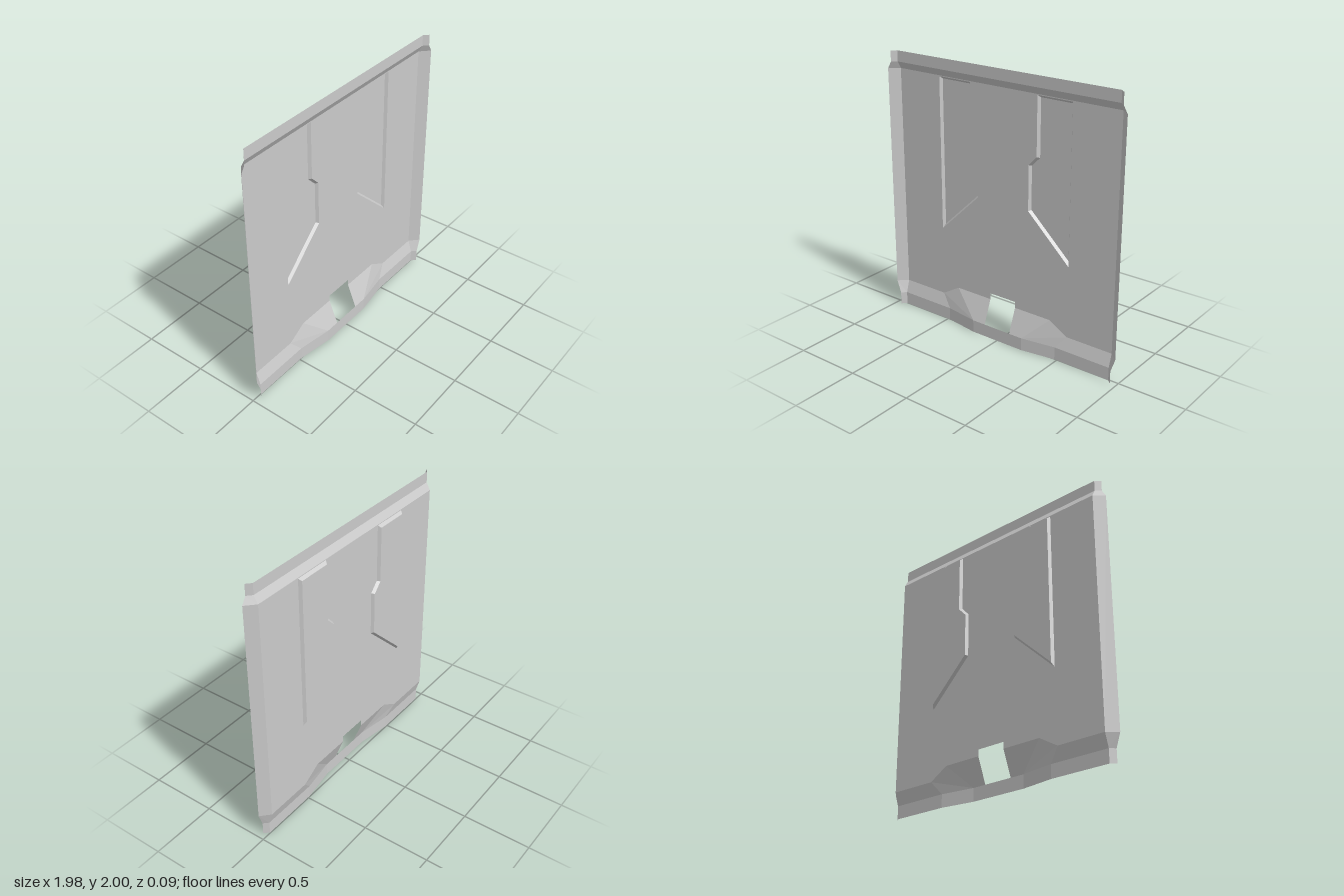
import * as THREE from 'three';

const material = new THREE.MeshStandardMaterial({ color: 0xcccccc, flatShading: true, side: THREE.DoubleSide });

// Depths of the pressed sheet
const MAIN = -0.025, EDGE = 0.004, FLANGE = 0.037, BULGE = 0.044, RECESS = -0.045;
// Heights of the fold lines
const Y0 = 0.095, Y1 = 0.19, Y2 = 1.868, Y3 = 1.92, TOP = 2;
const SIDE = 0.922, HOLE = 0.112, HOLE_TOP = 0.322, BULGE_TOP = 0.275;

const toShape = (pts) => new THREE.Shape(pts.map(([x, y]) => new THREE.Vector2(x, y)));

function add(group, name, geometry) {
  const mesh = new THREE.Mesh(geometry, material);
  mesh.name = name;
  group.add(mesh);
  return mesh;
}

// Convex facets, each a list of [x, y, z] corners, counter-clockwise from the front;
// s = -1 mirrors them across x = 0
function facets(polys, s = 1) {
  const pos = [];
  for (const p of polys) {
    for (let i = 1; i < p.length - 1; i++) {
      const tri = s > 0 ? [p[0], p[i], p[i + 1]] : [p[0], p[i + 1], p[i]];
      for (const [x, y, z] of tri) pos.push(x * s, y, z);
    }
  }
  const g = new THREE.BufferGeometry();
  g.setAttribute('position', new THREE.Float32BufferAttribute(pos, 3));
  g.computeVertexNormals();
  return g;
}

export function createModel() {
  const group = new THREE.Group();
  group.name = 'pressedPanel';

  // Recess outlines: rim in the main sheet and smaller floor
  const rim = [[0.557, 1.862], [0.282, 1.862], [0.282, 1.44], [0.218, 1.372], [0.218, 1.043], [0.557, 0.722]];
  const floor = [[0.543, 1.845], [0.297, 1.845], [0.297, 1.434], [0.231, 1.366], [0.231, 1.05], [0.543, 0.755]];
  const flip = (pts) => pts.map(([x, y]) => [-x, y]);

  // Main flat sheet, notched for the bulge and the opening
  const lower = [[SIDE, Y1], [0.56, Y1], [0.415, BULGE_TOP], [HOLE, BULGE_TOP], [HOLE, HOLE_TOP]];
  const sheet = toShape([[-SIDE, Y2], ...flip(lower), ...lower.slice().reverse(), [SIDE, Y2]]);
  sheet.holes.push(toShape(rim), toShape(flip(rim)));
  add(group, 'mainSheet', new THREE.ShapeGeometry(sheet)).position.z = MAIN;

  // Top fold and top strip
  add(group, 'topEdge', facets([
    [[-SIDE, Y2, MAIN], [SIDE, Y2, MAIN], [SIDE, Y3, EDGE], [-SIDE, Y3, EDGE]],
    [[-SIDE, Y3, EDGE], [SIDE, Y3, EDGE], [SIDE, TOP, EDGE], [-SIDE, TOP, EDGE]],
  ]));

  // Middle of the bottom strip, below the opening
  add(group, 'bulgeStrip', facets([
    [[-0.22, 0, BULGE], [0.22, 0, BULGE], [0.22, Y0, BULGE], [-0.22, Y0, BULGE]],
  ]));

  for (const s of [1, -1]) {
    const side = s > 0 ? 'left' : 'right';

    // Recess floor and sloping walls
    const mirror = s > 0 ? (p) => p : flip;
    add(group, side + 'RecessFloor', new THREE.ShapeGeometry(toShape(mirror(floor)))).position.z = RECESS;
    add(group, side + 'RecessWalls', facets(rim.map((p, i) => {
      const j = (i + 1) % rim.length;
      return [[...p, MAIN], [...rim[j], MAIN], [...floor[j], RECESS], [...floor[i], RECESS]];
    }), s));

    // Bottom fold and strip, outside the bulge
    add(group, side + 'BottomEdge', facets([
      [[0.48, Y0, EDGE], [SIDE, Y0, EDGE], [SIDE, Y1, MAIN], [0.56, Y1, MAIN]],
      [[0.48, 0, EDGE], [SIDE, 0, EDGE], [SIDE, Y0, EDGE], [0.48, Y0, EDGE]],
    ], s));

    // Bulge: slope beside the opening, corner facet, tapering strip
    add(group, side + 'Bulge', facets([
      [[HOLE, Y0, BULGE], [0.22, Y0, BULGE], [0.415, BULGE_TOP, MAIN], [HOLE, BULGE_TOP, MAIN]],
      [[0.22, Y0, BULGE], [0.48, Y0, EDGE], [0.56, Y1, MAIN], [0.415, BULGE_TOP, MAIN]],
      [[0.22, 0, BULGE], [0.48, 0, EDGE], [0.48, Y0, EDGE], [0.22, Y0, BULGE]],
    ], s));

    // Side flange: [y, inner depth, outer x] at each fold line
    const rows = [[0, EDGE, 0.955], [Y0, EDGE, 0.955], [Y1, MAIN, 0.988],
      [Y2, MAIN, 0.988], [Y3, EDGE, 0.957], [TOP, EDGE, 0.957]];
    add(group, side + 'Flange', facets(rows.slice(1).map(([y, z, x], i) => {
      const [py, pz, px] = rows[i];
      return [[SIDE, py, pz], [px, py, FLANGE], [x, y, FLANGE], [SIDE, y, z]];
    }), s));
  }
  return group;
}
